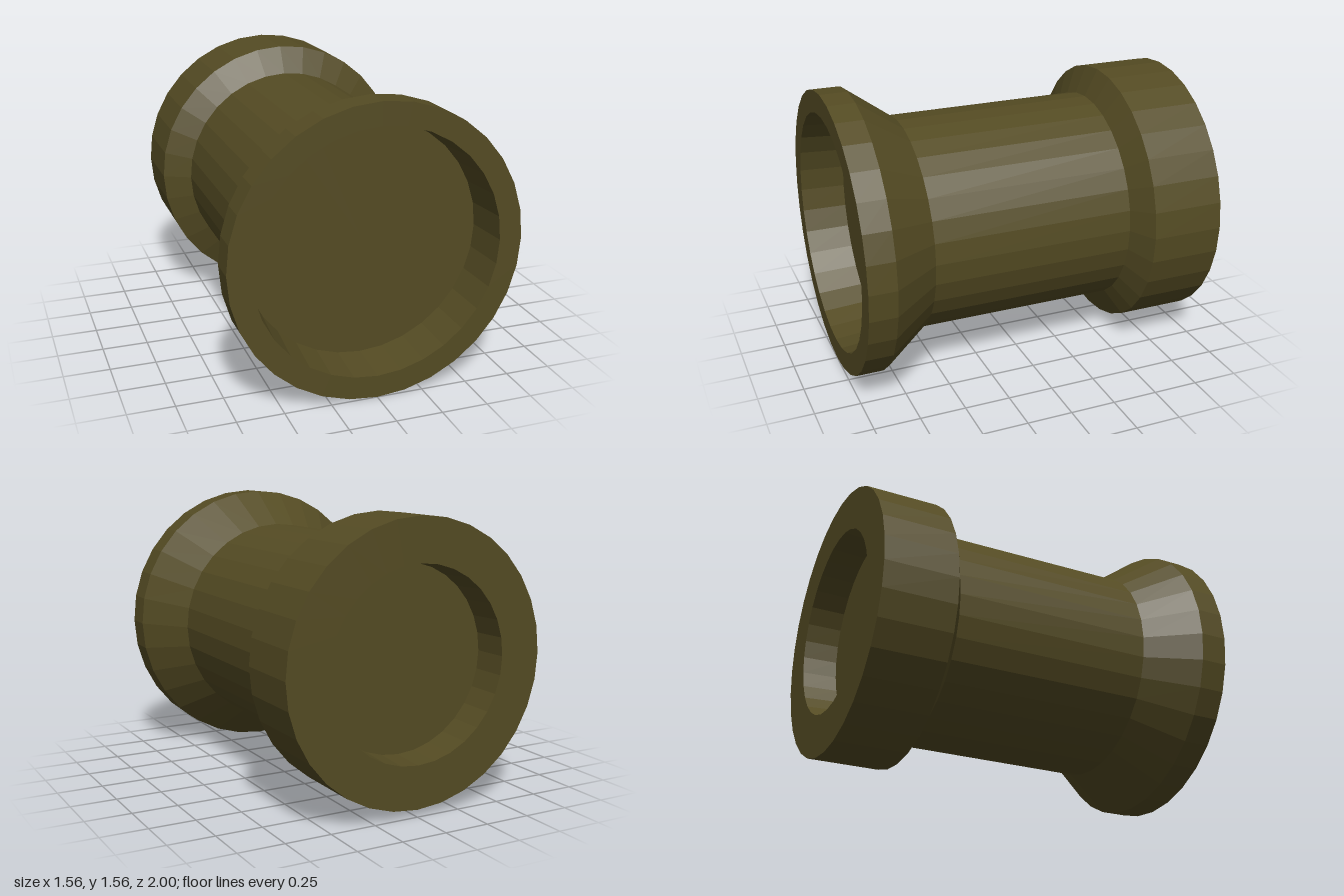
import * as THREE from 'three';

const SIDES = 32;
const CENTER_Y = 0.785;

export function createModel() {
  const model = new THREE.Group();
  const material = new THREE.MeshStandardMaterial({ color: 0x544b23, flatShading: true });

  // Revolves [radius, z] points, listed back to front along the outside, about the z axis
  const addTurned = (name, profile) => {
    const points = profile.map(([r, z]) => new THREE.Vector2(r, z));
    const mesh = new THREE.Mesh(new THREE.LatheGeometry(points, SIDES).rotateX(Math.PI / 2), material);
    mesh.name = name;
    mesh.position.y = CENTER_Y;
    model.add(mesh);
  };

  // Rear collar with its recessed end
  addTurned('rearRecessFloor', [[0, -0.81], [0.5, -0.81]]);
  addTurned('rearCollar', [[0.5, -0.81], [0.51, -1], [0.743, -1], [0.743, -0.6], [0.593, -0.525]]);

  // Straight barrel between the two ends
  addTurned('barrel', [[0.593, -0.525], [0.593, 0.59]]);

  // Flared front rim with its wider recess
  addTurned('frontFlare', [[0.593, 0.59], [0.782, 0.85], [0.782, 1], [0.66, 1], [0.64, 0.75]]);
  addTurned('frontRecessFloor', [[0.64, 0.75], [0, 0.75]]);

  return model;
}
